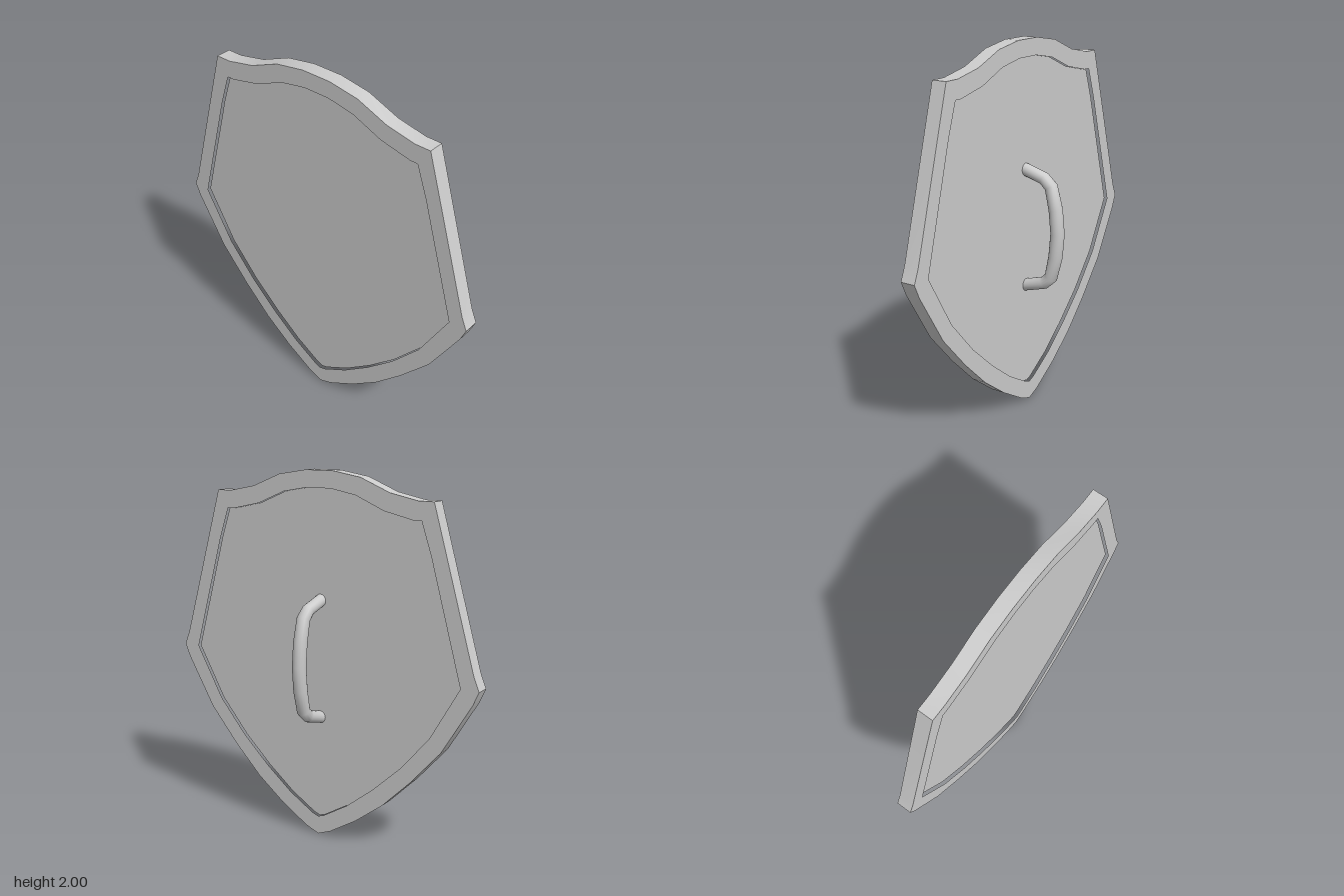
import * as THREE from 'three';
import { mergeVertices, toCreasedNormals } from 'three/addons/utils/BufferGeometryUtils.js';

const material = new THREE.MeshStandardMaterial({ color: 0xcccccc });
const BACK = 0.07, FRONT = 0.152, RECESS = 0.018;

// Right-hand halves of the outlines, from top centre down to the bottom tip.
const outerHalf = [
  [0.083, 2], [0.249, 1.973], [0.418, 1.905], [0.577, 1.873], [0.663, 1.873],
  [0.741, 1.607], [0.905, 1.045], [0.936, 0.97], [0.905, 0.897], [0.741, 0.62],
  [0.571, 0.424], [0.407, 0.26], [0.243, 0.133], [0.08, 0.032], [0, 0],
];
const innerHalf = [
  [0.074, 1.91], [0.222, 1.883], [0.386, 1.814], [0.556, 1.777], [0.598, 1.777],
  [0.656, 1.607], [0.836, 0.97], [0.672, 0.68], [0.508, 0.488], [0.344, 0.334],
  [0.185, 0.207], [0.037, 0.117], [0, 0.104],
];

// Mirror a half outline into a closed loop.
function mirrored(half) {
  const left = half.slice(0, -1).reverse().map(([x, y]) => [-x, y]);
  return [...half, ...left].map(([x, y]) => new THREE.Vector2(x, y));
}

function plate(name, shape, back, front) {
  const geometry = new THREE.ExtrudeGeometry(shape, { depth: front - back, bevelEnabled: false });
  geometry.translate(0, 0, back);
  const mesh = new THREE.Mesh(toCreasedNormals(geometry, 0.4), material);
  mesh.name = name;
  return mesh;
}

// Bent grip: rows of a cylinder are moved onto a path of [y, z, radius].
function createHandle() {
  const half = [
    [1.325, 0.1, 0.033], [1.317, 0.07, 0.033], [1.288, -0.029, 0.034],
    [1.248, -0.072, 0.036], [1.13, -0.1, 0.038], [1, -0.112, 0.038],
  ];
  const path = [...half, ...half.slice(0, -1).reverse().map(([y, z, r]) => [2 - y, z, r])];
  const rows = path.length - 1;
  const sides = 16;
  let geometry = new THREE.CylinderGeometry(1, 1, 1, sides, rows, true);
  const pos = geometry.attributes.position;
  const dir = (a, b) => new THREE.Vector2(path[a][0] - path[b][0], path[a][1] - path[b][1]).normalize();
  for (let i = 0; i < pos.count; i++) {
    const row = Math.round((0.5 - pos.getY(i)) * rows);
    const [y, z, r] = path[row];
    // Average of the adjoining directions, pointing up the path
    const t = dir(Math.max(row - 1, 0), Math.max(row, 1))
      .add(dir(Math.min(row, rows - 1), Math.min(row + 1, rows))).normalize();
    const x = pos.getX(i) * r, n = pos.getZ(i) * r;
    pos.setXYZ(i, x, y - n * t.y, z + n * t.x);
  }
  geometry.deleteAttribute('uv');
  geometry.deleteAttribute('normal');
  geometry = mergeVertices(geometry);
  geometry.computeVertexNormals();
  const mesh = new THREE.Mesh(geometry, material);
  mesh.name = 'handle';
  return mesh;
}

export function createModel() {
  const group = new THREE.Group();
  group.name = 'shield';

  // Raised border around the panel
  const rimShape = new THREE.Shape(mirrored(outerHalf));
  rimShape.holes.push(new THREE.Path(mirrored(innerHalf)));
  group.add(plate('rim', rimShape, BACK, FRONT));

  // Panel set in from both faces
  group.add(plate('panel', new THREE.Shape(mirrored(innerHalf)), BACK + RECESS, FRONT - RECESS));

  group.add(createHandle());
  return group;
}
